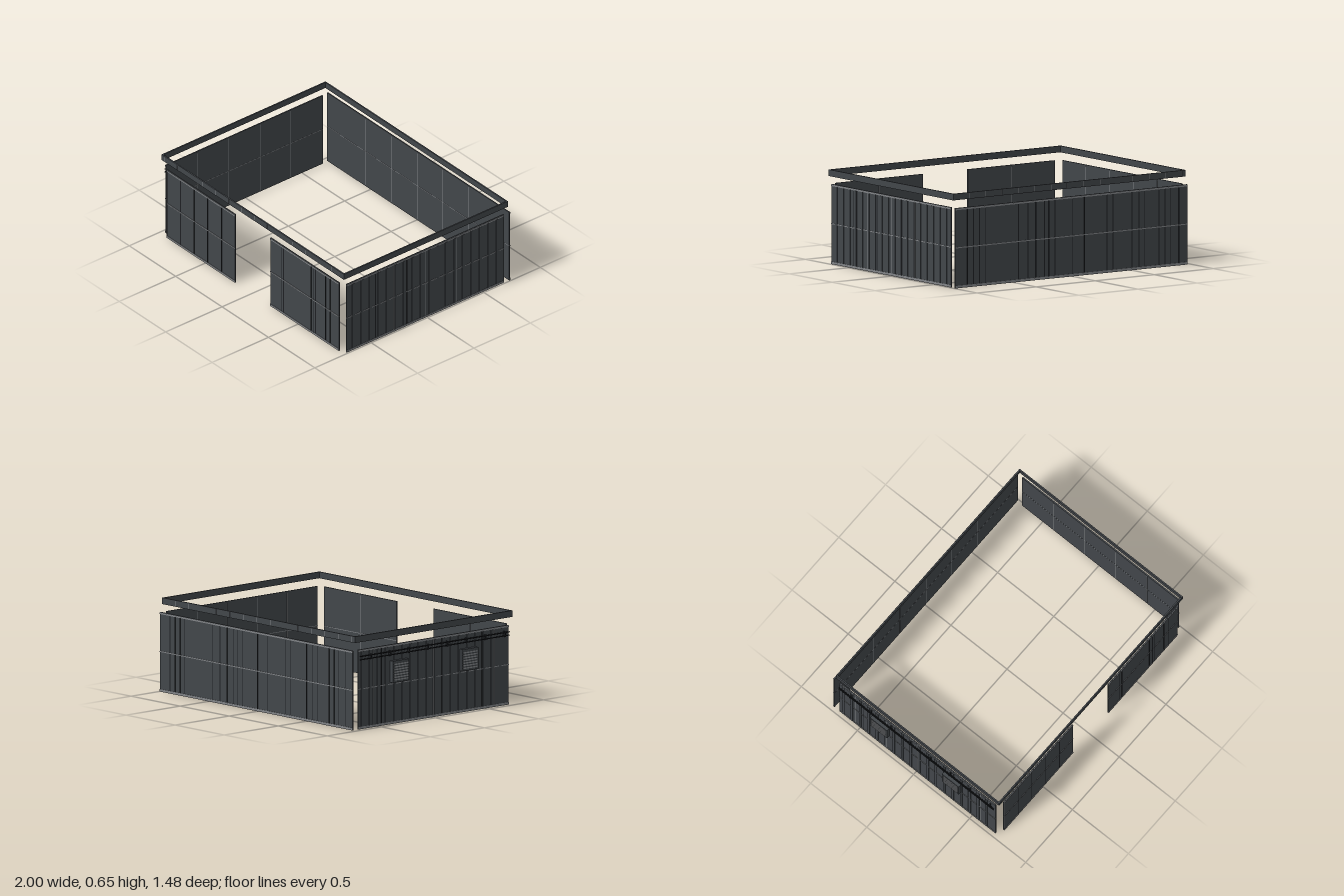
import * as THREE from 'three';

const mat = (name, hex) => {
  const m = new THREE.MeshStandardMaterial({ color: hex });
  m.name = name;
  return m;
};

export function createModel() {
  const root = new THREE.Group();
  root.name = 'wallKit';
  const panelMat = mat('dark slate panel', 0x42464a);
  const trimMat = mat('grey trim', 0x818487);
  const seamMat = mat('near black seam', 0x1d1f22);

  const H = 0.555, T = 0.008;

  // Box given by its lower and upper corners
  function box(parent, name, m, x0, x1, y0, y1, z0, z1) {
    const g = new THREE.BoxGeometry(x1 - x0, y1 - y0, z1 - z0);
    const mesh = new THREE.Mesh(g, m);
    mesh.position.set((x0 + x1) / 2, (y0 + y1) / 2, (z0 + z1) / 2);
    mesh.name = name;
    parent.add(mesh);
    return mesh;
  }

  // Wall in local space: x along the wall, outside faces +z, z = 0 is the outer skin
  function wall(name, x0, x1, { dark = [], light = [], ribs = [], inner = [], trims = true }) {
    const g = new THREE.Group();
    g.name = name;
    box(g, 'panel', panelMat, x0, x1, 0, H, -T, 0);
    if (trims) {
      box(g, 'bottomTrim', trimMat, x0, x1, 0.002, 0.018, 0, 0.003);
      box(g, 'topTrim', trimMat, x0, x1, H - 0.014, H - 0.003, 0, 0.003);
    }
    box(g, 'middleTrim', trimMat, x0, x1, 0.277, 0.284, 0, 0.003);
    box(g, 'innerMiddleSeam', trimMat, x0, x1, 0.278, 0.282, -T - 0.001, -T);
    for (const x of dark) box(g, 'darkSeam', seamMat, x - 0.003, x + 0.003, 0.018, H - 0.014, 0, 0.002);
    for (const x of light) box(g, 'lightSeam', trimMat, x - 0.002, x + 0.002, 0.018, H - 0.014, 0, 0.002);
    for (const x of ribs) box(g, 'rib', panelMat, x - 0.01, x + 0.01, 0.018, H - 0.014, 0, 0.005);
    for (const x of inner) box(g, 'innerSeam', trimMat, x - 0.002, x + 0.002, 0.01, H - 0.01, -T - 0.001, -T);
    root.add(g);
    return g;
  }

  // Front wall in two halves with a wide opening between
  const fr = wall('frontWallRight', -0.915, -0.178, { dark: [-0.765, -0.62, -0.475, -0.325], light: [-0.911], inner: [-0.55] });
  const fl = wall('frontWallLeft', 0.2, 0.94, { dark: [0.32, 0.345, 0.64, 0.67, 0.69, 0.795, 0.845], inner: [0.57] });
  fr.position.z = fl.position.z = 0.737;

  // Back wall, turned to face -z
  const back = wall('backWall', -0.993, 0.97, {
    dark: [-0.89, -0.84, -0.79, -0.74, -0.46, -0.38, -0.31, -0.24, -0.2, -0.15, 0, 0.1,
      0.29, 0.34, 0.5, 0.56, 0.61, 0.73, 0.78, 0.83, 0.9],
    inner: [-0.56, -0.28, -0.01, 0.27, 0.55],
  });
  back.rotation.y = Math.PI;
  back.position.z = -0.738;

  // Side walls with shallow ribs
  const ribs = [];
  for (let i = 0; i < 18; i++) ribs.push(-0.65 + i * 0.075);
  const left = wall('leftSideWall', -0.71, 0.685, {
    dark: [-0.455, -0.175], light: [-0.57, -0.29, -0.01, 0.265, 0.545],
    ribs, inner: [-0.43, -0.15, 0.13, 0.4],
  });
  left.rotation.y = Math.PI / 2;
  left.position.x = 0.99;

  const right = wall('rightSideWall', -0.685, 0.705, {
    dark: [-0.47, -0.13, 0.09, 0.46], light: [-0.545, -0.265, 0.01, 0.57],
    ribs, inner: [-0.4, -0.13, 0.15, 0.43],
  });
  right.rotation.y = -Math.PI / 2;
  right.position.x = -0.968;

  // Pipes along the right side wall with their brackets
  for (const y of [0.487, 0.51]) {
    const pipe = new THREE.Mesh(new THREE.CylinderGeometry(0.004, 0.004, 1.38, 8), seamMat);
    pipe.rotation.x = Math.PI / 2;
    pipe.position.set(-0.983, y, 0.01);
    pipe.name = 'pipe';
    root.add(pipe);
  }
  for (const z of [-0.58, -0.4, -0.225, -0.05, 0.13, 0.305, 0.48, 0.66]) {
    box(root, 'pipeBracket', seamMat, -0.987, -0.968, 0.48, 0.517, z - 0.004, z + 0.004);
  }

  // Louvred vent units on the right side wall
  for (const z of [-0.315, 0.325]) {
    const vent = new THREE.Group();
    vent.name = 'ventUnit';
    box(vent, 'ventCase', panelMat, -0.996, -0.968, 0.292, 0.443, -0.075, 0.075);
    for (let i = 0; i < 7; i++) {
      const y = 0.307 + i * 0.018;
      box(vent, 'louvre', trimMat, -1.0, -0.996, y, y + 0.009, -0.064, 0.064);
    }
    vent.position.z = z;
    root.add(vent);
  }

  // Roof fascia ring floating above the walls
  const ring = new THREE.Group();
  ring.name = 'fasciaRing';
  const X0 = -0.97, X1 = 0.995, Z0 = -0.717, Z1 = 0.738, Y0 = 0.607, Y1 = 0.652, R = 0.01;
  box(ring, 'frontFascia', panelMat, X0, X1, Y0, Y1, Z1 - R, Z1);
  box(ring, 'backFascia', panelMat, X0, X1, Y0, Y1, Z0, Z0 + R);
  box(ring, 'rightFascia', panelMat, X0, X0 + R, Y0, Y1, Z0 + R, Z1 - R);
  box(ring, 'leftFascia', panelMat, X1 - R, X1, Y0, Y1, Z0 + R, Z1 - R);
  for (let i = 0; i < 14; i++) {
    const x = -0.94 + i * 0.1385;
    box(ring, 'fasciaJoint', trimMat, x - 0.0015, x + 0.0015, Y0 + 0.004, Y1 - 0.004, Z1, Z1 + 0.001);
    box(ring, 'fasciaJoint', trimMat, x - 0.0015, x + 0.0015, Y0 + 0.004, Y1 - 0.004, Z0 - 0.001, Z0);
  }
  root.add(ring);
  return root;
}
